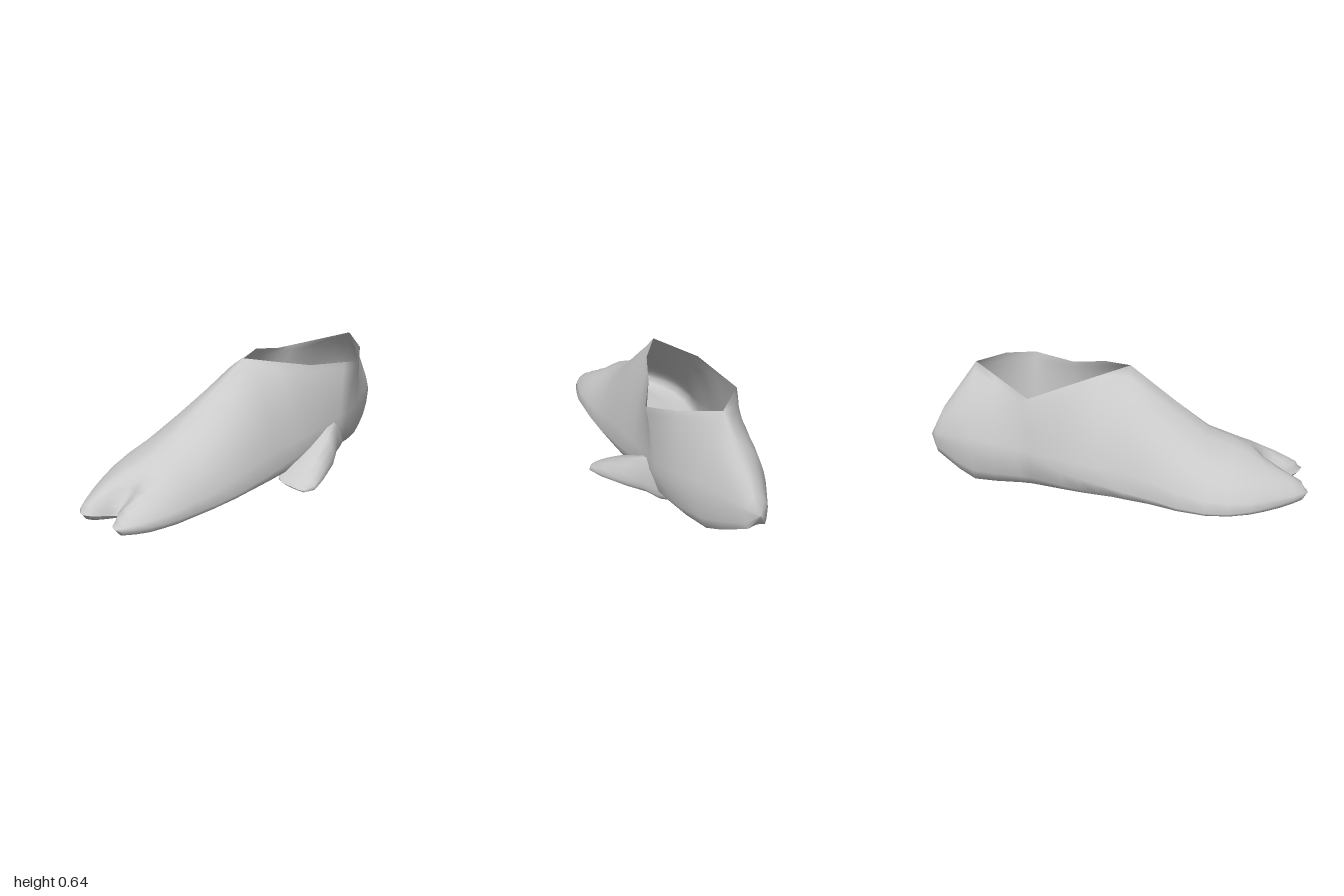
import * as THREE from 'three';
import { mergeVertices } from 'three/addons/utils/BufferGeometryUtils.js';

const { lerp, smoothstep } = THREE.MathUtils;

// Linear interpolation in a list of [z, value, value, ...] keys
function at(keys, z) {
  let i = 0;
  while (i < keys.length - 2 && z > keys[i + 1][0]) i++;
  const a = keys[i], b = keys[i + 1];
  const t = THREE.MathUtils.clamp((z - a[0]) / (b[0] - a[0]), 0, 1);
  return a.slice(1).map((v, k) => lerp(v, b[k + 1], t));
}

// Skin a list of cross-sections (rising z, each from the top over +x to -x)
function loft(name, sections) {
  const n = sections[0].length, index = [];
  for (let i = 0; i < sections.length - 1; i++) {
    for (let j = 0; j < n - 1; j++) {
      const a = i * n + j, b = a + n;
      index.push(a, b, a + 1, b, b + 1, a + 1);
    }
  }
  let geo = new THREE.BufferGeometry();
  geo.setAttribute('position', new THREE.Float32BufferAttribute(sections.flat(2), 3));
  geo.setIndex(index);
  geo = mergeVertices(geo, 1e-4);
  geo.computeVertexNormals();
  const mat = new THREE.MeshStandardMaterial({ color: 0xcccccc, side: THREE.DoubleSide });
  const mesh = new THREE.Mesh(geo, mat);
  mesh.name = name;
  return mesh;
}

// Upper edge on each side: z, x, y. The two sides part around the ankle opening.
const heelTop = [[-1, -0.03, 0.2], [-0.92, -0.02, 0.36], [-0.74, 0.03, 0.61]];
const instep = [[0.07, 0, 0.645], [0.48, -0.06, 0.35], [0.85, -0.06, 0.19],
  [0.97, -0.05, 0.12], [1, -0.05, 0.06]];
const rimLeft = [...heelTop, [-0.62, 0.2, 0.59], [-0.48, 0.288, 0.565],
  [-0.25, 0.17, 0.57], [-0.07, 0.1, 0.615], ...instep];
const rimRight = [...heelTop, [-0.42, -0.22, 0.535], [-0.16, -0.14, 0.61], ...instep];

// Widest x on each side
const sideLeft = [[-1, -0.03], [-0.95, 0.03], [-0.82, 0.105], [-0.62, 0.2], [-0.48, 0.24],
  [-0.35, 0.24], [0, 0.235], [0.4, 0.225], [0.72, 0.205], [0.9, 0.16], [0.97, 0.12],
  [1, 0.08]];
const sideRight = [[-1, -0.03], [-0.96, -0.09], [-0.87, -0.14], [-0.78, -0.19], [-0.6, -0.235],
  [-0.4, -0.26], [-0.2, -0.3], [0, -0.325], [0.2, -0.35], [0.4, -0.4], [0.55, -0.412],
  [0.68, -0.38], [0.8, -0.32], [0.92, -0.245], [0.97, -0.205], [1, -0.165]];

// z, height of the widest point, height of the sole, roundness of the upper side
const heights = [[-1, 0.2, 0.2, 0], [-0.96, 0.21, 0.12, 0.6], [-0.83, 0.2, 0.05, 0.65],
  [-0.75, 0.2, 0.012, 0.45], [-0.45, 0.2, 0.035, 0.25], [-0.1, 0.13, 0.02, 0.35],
  [0.1, 0.09, 0.015, 0.55], [0.4, 0.05, 0.008, 0.55], [0.85, 0.055, 0.008, 0.65],
  [0.97, 0.06, 0.02, 0.7], [1, 0.06, 0.06, 0]];

// One side of a section: rounded upper part, then tucked under to the sole corner
function sidePoints(rim, w, [yw, ys, round], z) {
  const [x0, y0] = rim, pts = [];
  const cx = lerp(x0, w, 0.5 + round / 2), cy = lerp(y0, yw, 0.5 - round / 2);
  const bez = (a, b, c, t) => lerp(lerp(a, b, t), lerp(b, c, t), t);
  for (let i = 0; i <= 8; i++) pts.push([bez(x0, cx, w, i / 8), bez(y0, cy, yw, i / 8), z]);
  const corner = lerp(-0.05, w, 0.76);
  pts.push([lerp(corner, w, 0.7), lerp(ys, yw, 0.35), z], [corner, ys, z]);
  return pts;
}

function footSection(z) {
  const h = at(heights, z);
  const l = sidePoints(at(rimLeft, z), at(sideLeft, z)[0], h, z);
  const r = sidePoints(at(rimRight, z), at(sideRight, z)[0], h, z);
  const sole = [];
  for (let i = 1; i < 10; i++) {
    const t = i / 10, arch = Math.min(0.01, h[0] - h[1]) * Math.sin(Math.PI * t);
    sole.push([lerp(l[10][0], r[10][0], t), h[1] + arch, z]);
  }
  // Cleft between the toes: pulled back and pressed down; the left toe is shorter
  return [...l, ...sole, ...r.reverse()].map(([x, y]) => {
    const front = smoothstep(z, 0.68, 0.97);
    const g = Math.exp(-(((x + 0.04) / 0.055) ** 2)) * front;
    return [x, y * (1 - 0.3 * g), z - 0.13 * g - 0.02 * front * smoothstep(x, -0.06, 0.05)];
  });
}

// Side toe growing out of the heel wall: z, inner x, outer x, bottom y, top y
const sideToe = [[-0.6, 0.14, 0.17, 0.09, 0.19], [-0.46, 0.17, 0.225, 0.035, 0.25],
  [-0.38, 0.175, 0.262, 0.033, 0.245], [-0.27, 0.17, 0.332, 0.02, 0.19],
  [-0.13, 0.17, 0.385, 0.005, 0.12], [-0.03, 0.18, 0.412, 0, 0.065],
  [0.02, 0.2, 0.385, 0, 0.035], [0.035, 0.24, 0.36, 0.015, 0.016]];

function toeSection([z, x0, x1, y0, y1]) {
  const pts = [];
  for (let i = 0; i <= 16; i++) {
    const a = (i % 16) * Math.PI / 8;
    // Highest towards the foot, sloping down to the outside
    const s = Math.sin(a), c = Math.cos(a);
    pts.push([lerp(x0, x1, 0.5 + s / 2), lerp(y0, y1, 0.5 + c / 2 - 0.2 * s * (1 - c * c)), z]);
  }
  return pts.map(([x, y]) => [x, Math.max(y, 0), z]);
}

export function createModel() {
  const group = new THREE.Group();
  group.name = 'foot';
  const stations = [-1, -0.96, -0.92, -0.83, -0.74, -0.62, -0.48, -0.42, -0.25, -0.16, -0.07,
    0.07, 0.2, 0.34, 0.48, 0.6, 0.7, 0.78, 0.85, 0.92, 0.97, 0.99, 1];
  group.add(loft('footBody', stations.map(footSection)));
  group.add(loft('sideToe', sideToe.map(toeSection)));
  return group;
}
